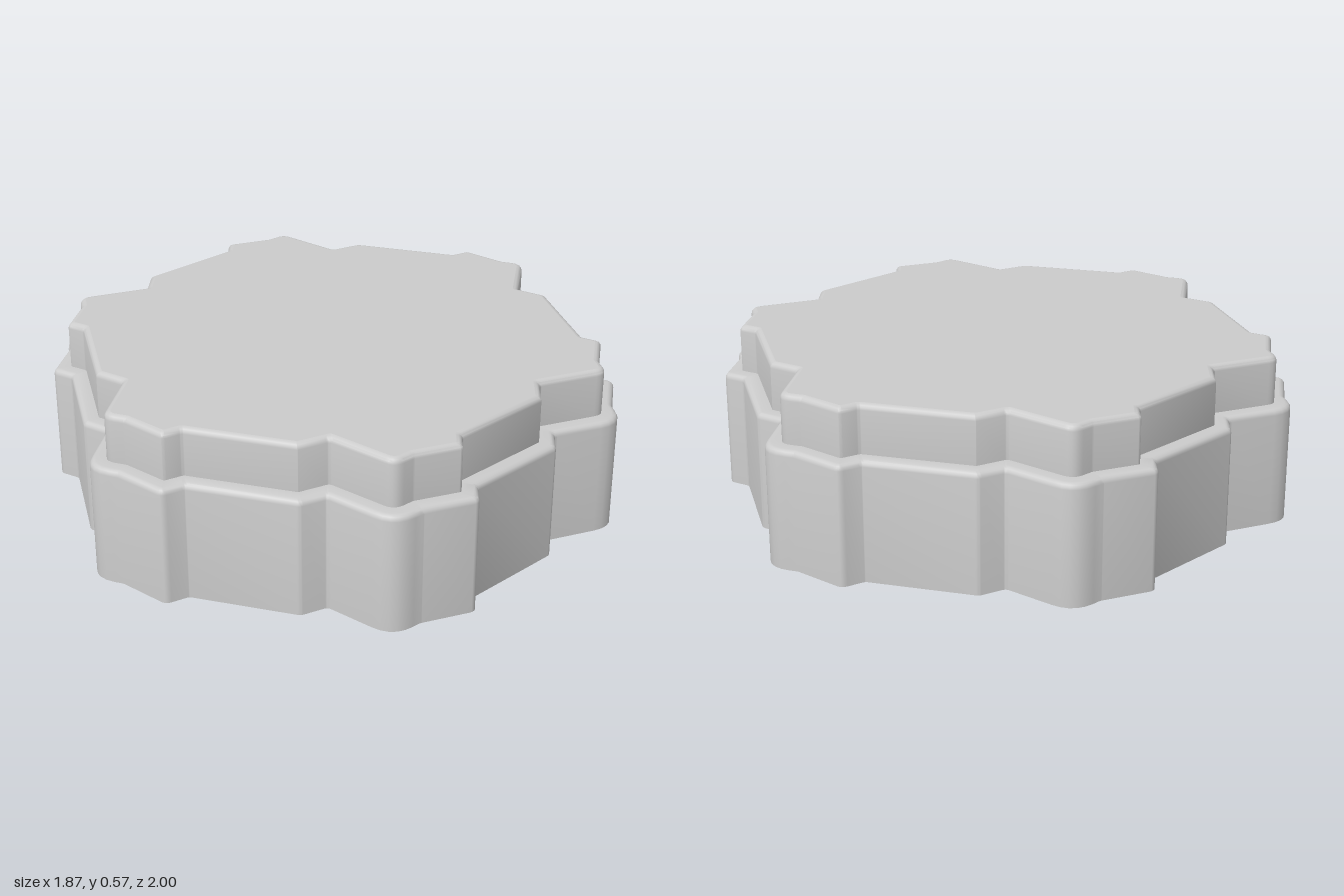
import * as THREE from 'three';
import { toCreasedNormals } from 'three/addons/utils/BufferGeometryUtils.js';

// One sixth of the outline, clockwise from above: x, z, corner radius
const SECTOR = [
  [-0.261, -0.867, 0.02],
  [-0.242, -0.947, 0.03],
  [-0.055, -0.971, 0.03],
  [0.046, -1.025, 0.1],
  [0.205, -0.82, 0.02],
  [0.297, -0.844, 0.03],
];
const CORNERS = [];
for (let k = 0; k < 6; k++) {
  const c = Math.cos(k * Math.PI / 3), s = Math.sin(k * Math.PI / 3);
  for (const [x, z, r] of SECTOR) CORNERS.push({ p: new THREE.Vector2(x * c - z * s, x * s + z * c), r });
}
const STEPS = 5;

// Outline moved inward by d, with rounded corners
function ring(d) {
  const n = CORNERS.length, out = [];
  for (let i = 0; i < n; i++) {
    const { p, r } = CORNERS[i];
    const d1 = p.clone().sub(CORNERS[(i + n - 1) % n].p).normalize();
    const d2 = CORNERS[(i + 1) % n].p.clone().sub(p).normalize();
    const turn = Math.atan2(d1.cross(d2), d1.dot(d2));
    const bisector = new THREE.Vector2(-d1.y - d2.y, d1.x + d2.x).normalize();
    const corner = p.clone().addScaledVector(bisector, d / Math.cos(turn / 2));
    const radius = turn > 0 ? Math.max(r - d, 0.012) : r;
    const t = radius * Math.tan(Math.abs(turn) / 2);
    const curve = new THREE.QuadraticBezierCurve(
      corner.clone().addScaledVector(d1, -t), corner, corner.clone().addScaledVector(d2, t));
    out.push(...curve.getPoints(STEPS));
  }
  return out;
}

function part(name, geometry) {
  const mesh = new THREE.Mesh(geometry, new THREE.MeshStandardMaterial({ color: 0xcccccc }));
  mesh.name = name;
  return mesh;
}

// Surface through rings given as [inset, y]
function shell(name, profile) {
  const rings = profile.map(([d, y]) => ring(d).map(q => [q.x, y, q.y]));
  const pos = [];
  for (let j = 0; j < rings.length - 1; j++) {
    const lo = rings[j], hi = rings[j + 1], n = lo.length;
    for (let i = 0; i < n; i++) {
      const k = (i + 1) % n;
      pos.push(...lo[i], ...hi[i], ...hi[k], ...lo[i], ...hi[k], ...lo[k]);
    }
  }
  const geo = new THREE.BufferGeometry();
  geo.setAttribute('position', new THREE.Float32BufferAttribute(pos, 3));
  return part(name, toCreasedNormals(geo, 0.6));
}

// Flat panel filling the outline at inset d, facing up (1) or down (-1)
function panel(name, d, y, facing) {
  const shape = new THREE.Shape(ring(d).map(q => new THREE.Vector2(q.x, -facing * q.y)));
  const geo = new THREE.ShapeGeometry(shape).rotateX(-facing * Math.PI / 2).translate(0, y, 0);
  return part(name, geo);
}

// Quarter-round edge from a wall at inset d to a flat at height y
function roundEdge(d, y, r) {
  return Array.from({ length: 5 }, (_, i) => {
    const a = i / 4 * Math.PI / 2;
    return [d + r * (1 - Math.cos(a)), y - r * (1 - Math.sin(a))];
  });
}

export function createModel() {
  const group = new THREE.Group();
  const step = 0.054, wall = 0.042, ledge = 0.41, top = 0.575, round = 0.02;
  const innerStep = 0.088, innerLedge = 0.372, ceiling = 0.527;
  group.add(
    // Wide lower wall with its rounded shoulder
    shell('lowerSkirt', [[0, 0], ...roundEdge(0, ledge, round), [step, ledge]]),
    // Inset upper wall and flat lid
    shell('upperWall', [[step, ledge], ...roundEdge(step, top, round)]),
    panel('lidTop', step + round, top, 1),
    // Hollow underside with an inner ledge
    panel('cavityCeiling', innerStep, ceiling, -1),
    shell('cavityWall', [[innerStep, ceiling], [innerStep, innerLedge], [wall, innerLedge], [wall, 0]]),
    // Bottom rim joining the two walls
    shell('bottomRim', [[wall, 0], [0, 0]]),
  );
  return group;
}
